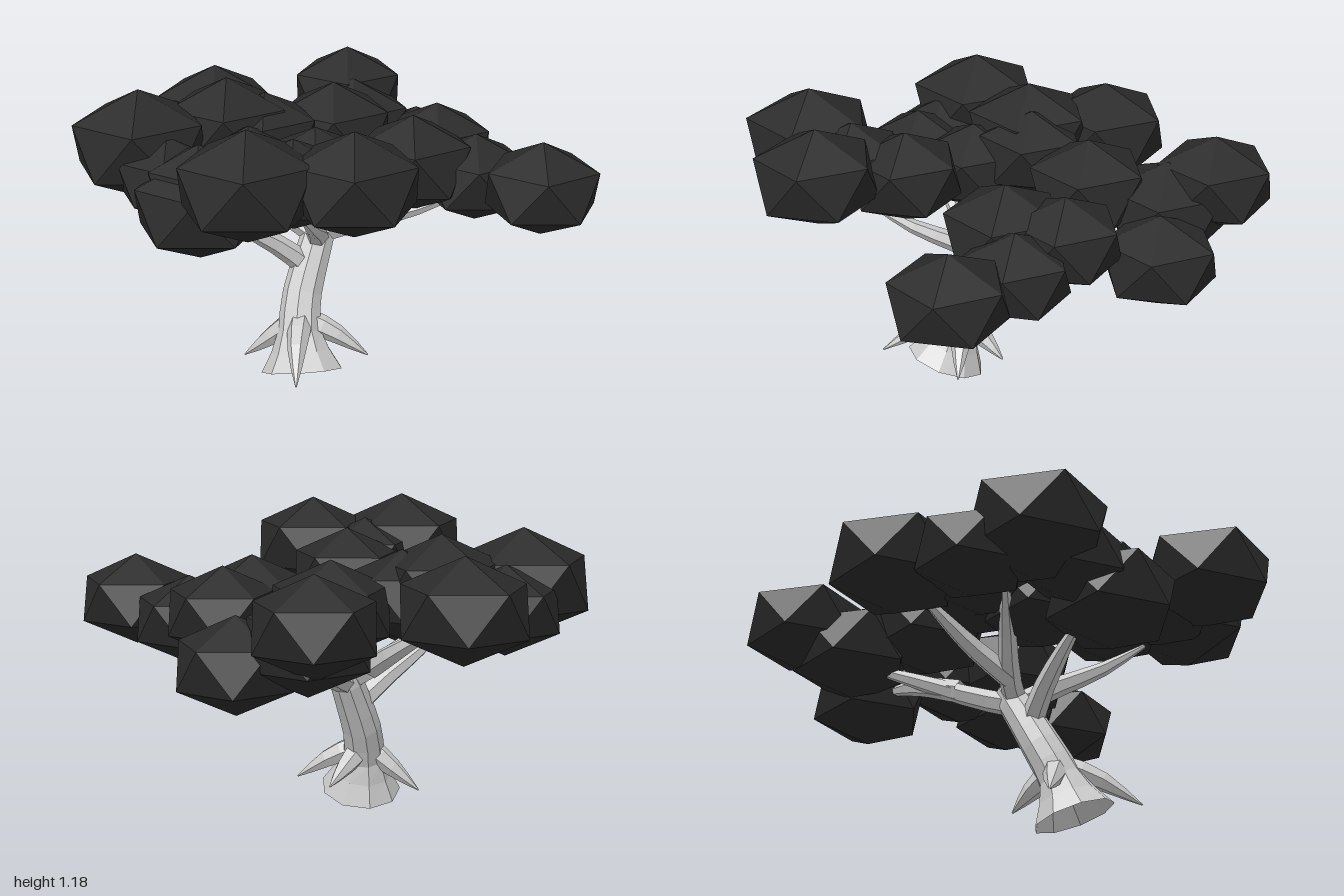
import * as THREE from 'three';

const bark = new THREE.MeshStandardMaterial({ color: 0xcccccc, flatShading: true, side: THREE.DoubleSide });
bark.name = 'pale bark';
const leaf = new THREE.MeshStandardMaterial({ color: 0x2a2a2a, flatShading: true });
leaf.name = 'dark foliage';

// Tube along a smooth path; radii are spread evenly over its length
function limb(name, points, radii, sides = 6, steps = 6) {
  const curve = new THREE.CatmullRomCurve3(points.map((p) => new THREE.Vector3(...p)));
  const geo = new THREE.TubeGeometry(curve, steps, 1, sides, false);
  const pos = geo.attributes.position;
  const v = new THREE.Vector3();
  for (let i = 0; i <= steps; i++) {
    const centre = curve.getPointAt(i / steps);
    const f = (i / steps) * (radii.length - 1);
    const k = Math.min(Math.floor(f), radii.length - 2);
    const r = THREE.MathUtils.lerp(radii[k], radii[k + 1], f - k);
    for (let j = 0; j <= sides; j++) {
      const n = i * (sides + 1) + j;
      v.fromBufferAttribute(pos, n).sub(centre).multiplyScalar(r).add(centre);
      pos.setXYZ(n, v.x, v.y, v.z);
    }
  }
  geo.computeVertexNormals();
  const mesh = new THREE.Mesh(geo, bark);
  mesh.name = name;
  return mesh;
}

export function createModel() {
  const tree = new THREE.Group();
  tree.name = 'tree';

  // Leaning trunk with a flared, open foot
  tree.add(limb('trunk',
    [[-0.09, 0.055, 0.235], [-0.115, 0.2, 0.19], [-0.125, 0.32, 0.13], [-0.11, 0.45, 0.06], [-0.09, 0.59, -0.02]],
    [0.158, 0.115, 0.085, 0.08, 0.077, 0.074, 0.07, 0.066, 0.05], 9, 8));

  // Pointed roots around the foot
  const roots = new THREE.Group();
  roots.name = 'roots';
  for (const [start, mid, tip] of [
    [[-0.1, 0.24, 0.17], [0.01, 0.19, 0.15], [0.14, 0.105, 0.13]],
    [[-0.13, 0.24, 0.18], [-0.23, 0.16, 0.19], [-0.34, 0.07, 0.2]],
    [[-0.11, 0.25, 0.19], [-0.08, 0.2, 0.32], [-0.03, 0.1, 0.48]],
    [[-0.11, 0.23, 0.16], [-0.08, 0.18, 0.08], [-0.04, 0.11, -0.01]],
  ]) roots.add(limb('root', [start, mid, tip], [0.045, 0.045, 0.028, 0.003], 6, 4));
  tree.add(roots);

  // Branches and forks reaching into the crown
  const branches = new THREE.Group();
  branches.name = 'branches';
  for (const path of [
    [[-0.1, 0.52, 0.02], [-0.06, 0.59, 0.14], [-0.01, 0.68, 0.34], [0.01, 0.77, 0.5]],
    [[-0.12, 0.42, 0.08], [-0.2, 0.51, 0.14], [-0.32, 0.62, 0.25], [-0.42, 0.72, 0.36]],
    [[-0.1, 0.53, 0.02], [-0.2, 0.59, 0.02], [-0.36, 0.71, 0.05], [-0.6, 0.82, 0.1]],
    [[-0.1, 0.54, 0.01], [0.05, 0.59, -0.02], [0.25, 0.64, -0.08], [0.45, 0.72, -0.13]],
    [[-0.1, 0.52, 0.02], [-0.1, 0.57, -0.14], [-0.13, 0.65, -0.36], [-0.15, 0.74, -0.6]],
    [[-0.11, 0.6, -0.2], [-0.08, 0.65, -0.36], [0.02, 0.69, -0.55]],
    [[-0.2, 0.59, 0.02], [-0.33, 0.68, -0.1], [-0.55, 0.82, -0.25]],
  ]) branches.add(limb('branch', path, [0.045, 0.042, 0.034, 0.024, 0.008], 6, 6));
  tree.add(branches);

  // Flattened twenty-sided leaf clumps, one corner up: x, y, z, radius
  const clump = new THREE.IcosahedronGeometry(1, 0);
  clump.rotateZ(-Math.atan(2 / (1 + Math.sqrt(5))));
  clump.scale(1 / 0.894, 0.835, 1 / 0.894);
  clump.computeVertexNormals();
  const crown = new THREE.Group();
  crown.name = 'crown';
  for (const [x, y, z, r] of [
    // back
    [-0.24, 0.88, -0.79, 0.222], [0.105, 0.7, -0.635, 0.218], [-0.16, 0.79, -0.62, 0.228], [-0.145, 0.86, -0.32, 0.225],
    // left
    [0.28, 0.83, -0.31, 0.21], [0.25, 0.83, -0.08, 0.226], [0.77, 0.81, 0.005, 0.214], [0.475, 0.77, -0.165, 0.205],
    // right
    [-0.64, 0.88, -0.3, 0.24], [-0.73, 0.91, 0.25, 0.255], [-0.48, 0.92, -0.02, 0.238],
    [-0.34, 0.89, -0.06, 0.205], [-0.72, 0.84, 0.01, 0.205], [-0.32, 0.82, 0.17, 0.21],
    [-0.41, 0.76, 0.45, 0.24], [-0.42, 0.83, 0.42, 0.19], [-0.57, 0.83, 0.36, 0.19],
    // front
    [0.01, 0.9, 0.36, 0.215], [0.0, 0.93, 0.57, 0.2], [-0.1, 0.975, 0.765, 0.245], [0.245, 0.975, 0.635, 0.23],
  ]) {
    const mesh = new THREE.Mesh(clump, leaf);
    mesh.name = 'leafClump';
    mesh.position.set(x, y, z);
    mesh.scale.setScalar(r);
    crown.add(mesh);
  }
  tree.add(crown);
  return tree;
}
